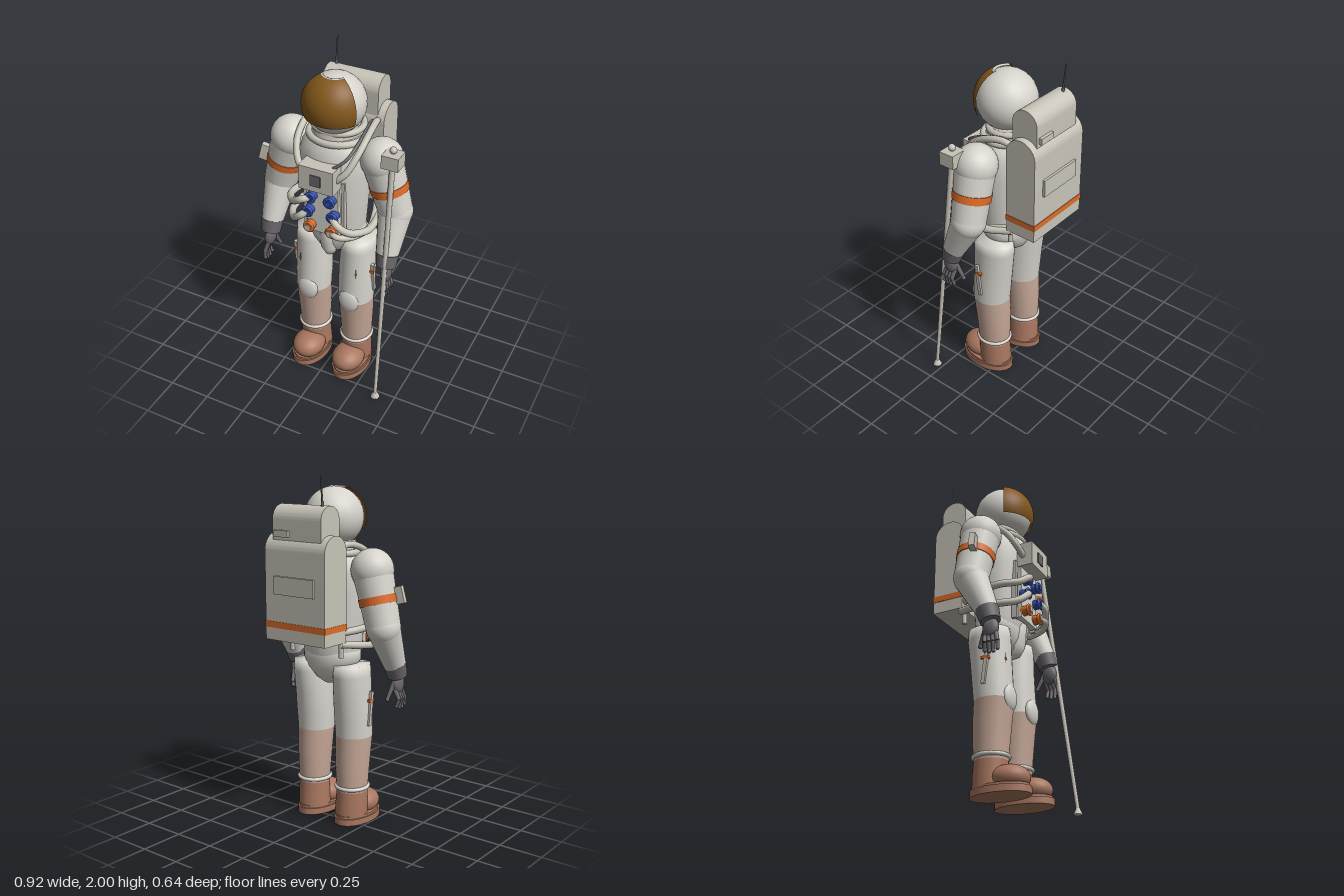
import * as THREE from 'three';
import { toCreasedNormals } from 'three/addons/utils/BufferGeometryUtils.js';

const mat = (name, color, side = THREE.FrontSide) => {
  const m = new THREE.MeshStandardMaterial({ color, side });
  m.name = name;
  return m;
};
const V = (x, y, z) => new THREE.Vector3(x, y, z);

export function createModel() {
  const suit = mat('suit cloth', 0xd6d3cc), gear = mat('gear grey', 0xc8c4b9);
  const dust = mat('dusty cloth', 0xc4a696), boot = mat('boot brown', 0xa97760);
  const gold = mat('visor gold', 0x85591c, THREE.DoubleSide), dark = mat('dark rubber', 0x6a676c);
  const blue = mat('connector blue', 0x3450b0), orange = mat('stripe orange', 0xdc6c28);

  const root = new THREE.Group();
  root.name = 'astronaut';
  const add = (name, geo, m, x = 0, y = 0, z = 0) => {
    const mesh = new THREE.Mesh(geo, m);
    mesh.name = name;
    mesh.position.set(x, y, z);
    root.add(mesh);
    return mesh;
  };
  const box = (name, m, w, h, d, x, y, z) => add(name, new THREE.BoxGeometry(w, h, d), m, x, y, z);
  const ball = (name, m, r, x, y, z, sx = 1, sy = 1, sz = 1) => {
    const b = add(name, new THREE.SphereGeometry(r, 28, 18), m, x, y, z);
    b.scale.set(sx, sy, sz);
    return b;
  };
  // Tapered round bar from point a to point b
  const limb = (name, m, a, b, ra, rb, sides = 24) => {
    const dir = b.clone().sub(a);
    const mid = a.clone().add(b).multiplyScalar(0.5);
    const c = add(name, new THREE.CylinderGeometry(rb, ra, dir.length(), sides), m, mid.x, mid.y, mid.z);
    c.quaternion.setFromUnitVectors(V(0, 1, 0), dir.normalize());
    return c;
  };
  const hose = (name, m, r, pts) =>
    add(name, new THREE.TubeGeometry(new THREE.CatmullRomCurve3(pts.map(p => V(...p))), 36, r, 12), m);
  const ring = (name, m, R, r, x, y, z, sz = 1) => {
    const t = add(name, new THREE.TorusGeometry(R, r, 12, 40), m, x, y, z);
    t.rotation.x = Math.PI / 2;
    t.scale.y = sz;
    return t;
  };
  // Smooth body through elliptical rings [x, y, z, rx, rz], bottom to top
  const loft = (name, m, rings, n = 32) => {
    const pos = [], idx = [];
    rings.forEach(([x, y, z, rx, rz], i) => {
      for (let j = 0; j < n; j++) {
        const t = j / n * Math.PI * 2;
        pos.push(x + rx * Math.cos(t), y, z + rz * Math.sin(t));
        if (i) {
          const k = (j + 1) % n, lo = (i - 1) * n, hi = i * n;
          idx.push(lo + j, hi + j, lo + k, lo + k, hi + j, hi + k);
        }
      }
    });
    const g = new THREE.BufferGeometry();
    g.setAttribute('position', new THREE.Float32BufferAttribute(pos, 3));
    g.setIndex(idx);
    g.computeVertexNormals();
    return add(name, g, m);
  };

  // Torso and pelvis
  loft('torso', suit, [
    [0, 0.96, 0.025, 0.165, 0.13], [0, 1.04, 0.03, 0.178, 0.15], [0, 1.2, 0.033, 0.19, 0.16],
    [0, 1.36, 0.035, 0.205, 0.168], [0, 1.47, 0.035, 0.208, 0.165], [0, 1.53, 0.033, 0.19, 0.15],
    [0, 1.575, 0.03, 0.155, 0.13], [0, 1.6, 0.02, 0.125, 0.115], [0, 1.6, 0.02, 0.001, 0.001]]);
  loft('pelvis', suit, [
    [0, 0.82, 0.03, 0.001, 0.001], [0, 0.825, 0.03, 0.04, 0.06], [0, 0.86, 0.03, 0.085, 0.105],
    [0, 0.92, 0.025, 0.15, 0.13], [0, 0.97, 0.025, 0.18, 0.137], [0, 1.02, 0.025, 0.178, 0.137],
    [0, 1.03, 0.025, 0.16, 0.12]]);
  loft('crotchFlap', suit, [
    [0, 0.815, 0.1, 0.001, 0.001], [0, 0.83, 0.1, 0.03, 0.04], [0, 0.88, 0.115, 0.05, 0.052],
    [0, 1.015, 0.125, 0.052, 0.055], [0, 1.02, 0.125, 0.001, 0.001]]);

  // Neck rings, helmet and visor
  add('neckCollar', new THREE.CylinderGeometry(0.125, 0.15, 0.1, 32), gear, 0, 1.59, 0.01);
  ring('neckRingLower', gear, 0.155, 0.02, 0, 1.575, 0.02, 0.9);
  ring('neckRingUpper', gear, 0.14, 0.018, 0, 1.628, 0, 0.9).rotation.x += 0.05;
  ball('helmet', suit, 0.169, 0, 1.766, 0.04);
  add('visor', new THREE.SphereGeometry(0.182, 36, 24, Math.PI / 2 - 1.1, 2.2, 0.43, 1.53), gold, 0, 1.766, 0.04);
  const rimPts = [];
  for (let i = 0; i <= 8; i++) {
    const t = -1.1 + 2.2 * i / 8;
    rimPts.push([0.07 * Math.sin(t), 1.928, 0.04 + 0.07 * Math.cos(t)]);
  }
  hose('visorRim', suit, 0.007, rimPts);

  // Chest control box, panel straps and connectors
  box('controlBox', gear, 0.205, 0.145, 0.1, 0, 1.41, 0.225);
  box('controlScreen', dark, 0.06, 0.065, 0.008, 0, 1.408, 0.278);
  box('chestPanel', suit, 0.19, 0.34, 0.04, 0, 1.19, 0.18);
  const connector = (m, x, y) => {
    const c = add('connector', new THREE.CylinderGeometry(0.027, 0.03, 0.055, 16), m, x, y, 0.218);
    c.rotation.x = Math.PI / 2;
    ring('connectorRing', m, 0.027, 0.008, x, y, 0.236).rotation.x = 0;
    const p = add('connectorCore', new THREE.CylinderGeometry(0.018, 0.018, 0.008, 16), m === blue ? blue : gear, x, y, 0.247);
    p.rotation.x = Math.PI / 2;
  };
  for (const s of [-1, 1]) {
    connector(blue, s * 0.058, 1.26);
    connector(blue, s * 0.075, 1.165);
    connector(orange, s * 0.068, 1.065);
    box('chestStrap', gear, 0.018, 0.36, 0.03, s * 0.115, 1.19, 0.167);
  }

  // Hoses round the waist and over the shoulders
  for (const s of [-1, 1]) {
    hose('waistHose', gear, 0.021, [[s * 0.075, 1.165, 0.23], [s * 0.11, 1.14, 0.25], [s * 0.17, 1.085, 0.215],
      [s * 0.235, 1.06, 0.11], [s * 0.235, 1.07, 0], [s * 0.185, 1.09, -0.14]]);
    hose('shoulderHose', gear, 0.019, [[s * 0.16, 1.6, -0.15], [s * 0.18, 1.63, -0.08], [s * 0.19, 1.61, 0.03],
      [s * 0.18, 1.54, 0.14], [s * 0.14, 1.45, 0.2], [s * 0.09, 1.4, 0.215]]);
    limb('hoseEnd', gear, V(s * 0.175, 1.01, -0.12), V(s * 0.175, 1.11, -0.12), 0.014, 0.014, 12);
  }
  hose('upperWaistHose', gear, 0.021, [[-0.058, 1.26, 0.23], [-0.1, 1.25, 0.255], [-0.17, 1.2, 0.22],
    [-0.235, 1.175, 0.12], [-0.22, 1.16, -0.02], [-0.17, 1.15, -0.14]]);
  hose('lowerWaistHose', gear, 0.018, [[0.068, 1.065, 0.23], [0.11, 1.06, 0.25], [0.18, 1.05, 0.2],
    [0.225, 1.05, 0.08], [0.21, 1.08, -0.03], [0.17, 1.1, -0.14]]);
  hose('cable', dark, 0.009, [[0.14, 1.6, -0.14], [0.155, 1.625, -0.05], [0.165, 1.59, 0.09],
    [0.14, 1.53, 0.19], [0.07, 1.47, 0.225]]);

  // Backpack: two blocks with half-round tops
  const pack = (name, m, w, y0, y1, r, z) => {
    const sh = new THREE.Shape();
    sh.moveTo(-r, y0);
    sh.lineTo(r, y0);
    sh.lineTo(r, y1 - r);
    sh.absarc(0, y1 - r, r, 0, Math.PI, false);
    const g = new THREE.ExtrudeGeometry(sh, { depth: w, bevelEnabled: false, curveSegments: 20 });
    g.translate(0, 0, -w / 2).rotateY(Math.PI / 2);
    add(name, toCreasedNormals(g, 0.6), m, 0, 0, z);
  };
  pack('backpack', gear, 0.418, 1.1, 1.69, 0.094, -0.213);
  pack('oxygenUnit', gear, 0.336, 1.5, 1.845, 0.079, -0.208);
  box('backpackStripe', orange, 0.424, 0.035, 0.194, 0, 1.188, -0.213);
  box('backPlate', gear, 0.276, 0.1, 0.02, 0, 1.41, -0.311);
  box('backSwitch', gear, 0.1, 0.036, 0.025, 0.1, 1.69, -0.293);
  limb('antenna', dark, V(-0.13, 1.83, -0.224), V(-0.13, 2, -0.24), 0.006, 0.004, 8);
  limb('antennaBase', dark, V(-0.13, 1.83, -0.224), V(-0.13, 1.865, -0.227), 0.009, 0.008, 8);

  for (const s of [-1, 1]) {
    const P = (x, y, z) => V(s * x, y, z);
    // Arm
    const sh = P(0.272, 1.49, 0.033), el = P(0.357, 1.18, 0.022), wr = P(0.365, 0.93, 0.14);
    const on = (t) => sh.clone().lerp(el, t);
    ball('shoulder', suit, 0.12, sh.x, sh.y, sh.z);
    limb('upperArm', suit, sh, el, 0.114, 0.097);
    ball('elbow', suit, 0.098, el.x, el.y, el.z);
    limb('forearm', suit, el, wr, 0.097, 0.06);
    limb('armStripe', orange, on(0.46), on(0.6), 0.11, 0.108);
    limb('glovecuff', dark, P(0.365, 0.96, 0.128), P(0.367, 0.885, 0.15), 0.066, 0.056);
    // Gloved hand
    ball('palm', dark, 0.05, s * 0.37, 0.845, 0.152, 0.6, 1.2, 0.95).rotation.z = s * 0.1;
    for (let i = 0; i < 4; i++) {
      const a = P(0.37, 0.815, 0.182 - i * 0.02);
      const k = P(0.385 + i * 0.004, 0.755, 0.2 - i * 0.024);
      const tip = P(0.383, 0.715 - (i % 3 ? 0.01 : 0), 0.2 - i * 0.025);
      limb('finger', dark, a, k, 0.014, 0.012, 10);
      limb('fingerTip', dark, k, tip, 0.012, 0.01, 10);
      ball('fingerEnd', dark, 0.0115, tip.x, tip.y, tip.z);
    }
    limb('thumb', dark, P(0.365, 0.85, 0.12), P(0.35, 0.76, 0.08), 0.015, 0.011, 10);
    ball('thumbEnd', dark, 0.012, s * 0.35, 0.758, 0.08);

    // Leg: clean thigh, dusty shin
    const X = s * 0.14;
    loft('thigh', suit, [
      [X, 0.522, 0.05, 0.105, 0.112], [X, 0.62, 0.043, 0.108, 0.114], [X, 0.75, 0.033, 0.105, 0.118],
      [s * 0.143, 0.88, 0.024, 0.1, 0.125], [s * 0.145, 0.945, 0.022, 0.094, 0.122],
      [s * 0.145, 0.952, 0.022, 0.001, 0.001]]);
    loft('shin', dust, [
      [X, 0.19, 0.035, 0.088, 0.095], [X, 0.27, 0.035, 0.093, 0.1], [X, 0.4, 0.04, 0.1, 0.108],
      [X, 0.522, 0.05, 0.105, 0.112]]);
    ball('kneePad', suit, 0.08, s * 0.135, 0.535, 0.14, 0.8, 1, 0.42);
    // Thigh tool with orange clip and seam line
    box('thighTool', gear, 0.018, 0.2, 0.022, s * 0.25, 0.693, 0.055).rotation.x = 0.12;
    box('toolClip', orange, 0.026, 0.016, 0.045, s * 0.247, 0.742, 0.055);
    limb('thighSeam', dark, P(0.178, 0.67, 0.139), P(0.178, 0.78, 0.138), 0.006, 0.006, 8);
    box('seamClip', orange, 0.01, 0.014, 0.012, s * 0.178, 0.745, 0.141);

    // Boot
    ring('bootRing', suit, 0.09, 0.012, X, 0.215, 0.035, 1.06);
    loft('bootShaft', boot, [
      [s * 0.137, 0.04, 0.03, 0.094, 0.1], [X, 0.12, 0.03, 0.092, 0.096], [X, 0.205, 0.035, 0.087, 0.094]]);
    ball('bootToe', boot, 0.1, s * 0.135, 0.09, 0.14, 0.97, 0.74, 1.13);
    const disc = (name, y, h, rx, rz) =>
      add(name, new THREE.CylinderGeometry(1, 1, h, 40), boot, s * 0.138, y, 0.088).scale.set(rx, 1, rz);
    disc('bootWelt', 0.043, 0.018, 0.1, 0.164);
    disc('bootSole', 0.019, 0.038, 0.108, 0.174);
  }

  // Wrist-side gauge on the right arm
  const gauge = box('armGauge', gear, 0.06, 0.095, 0.035, -0.423, 1.362, 0.07);
  gauge.rotation.set(0, 0.2, -0.25);

  // Staff with instrument head
  box('staffHead', gear, 0.097, 0.078, 0.093, 0.368, 1.552, 0.11);
  ball('staffKnob', gear, 0.02, 0.368, 1.61, 0.11);
  limb('staff', gear, V(0.39, 0.02, 0.293), V(0.368, 1.53, 0.115), 0.011, 0.016, 12);
  add('staffFoot', new THREE.CylinderGeometry(0.012, 0.028, 0.035, 8), gear, 0.39, 0.0175, 0.292);

  return root;
}
